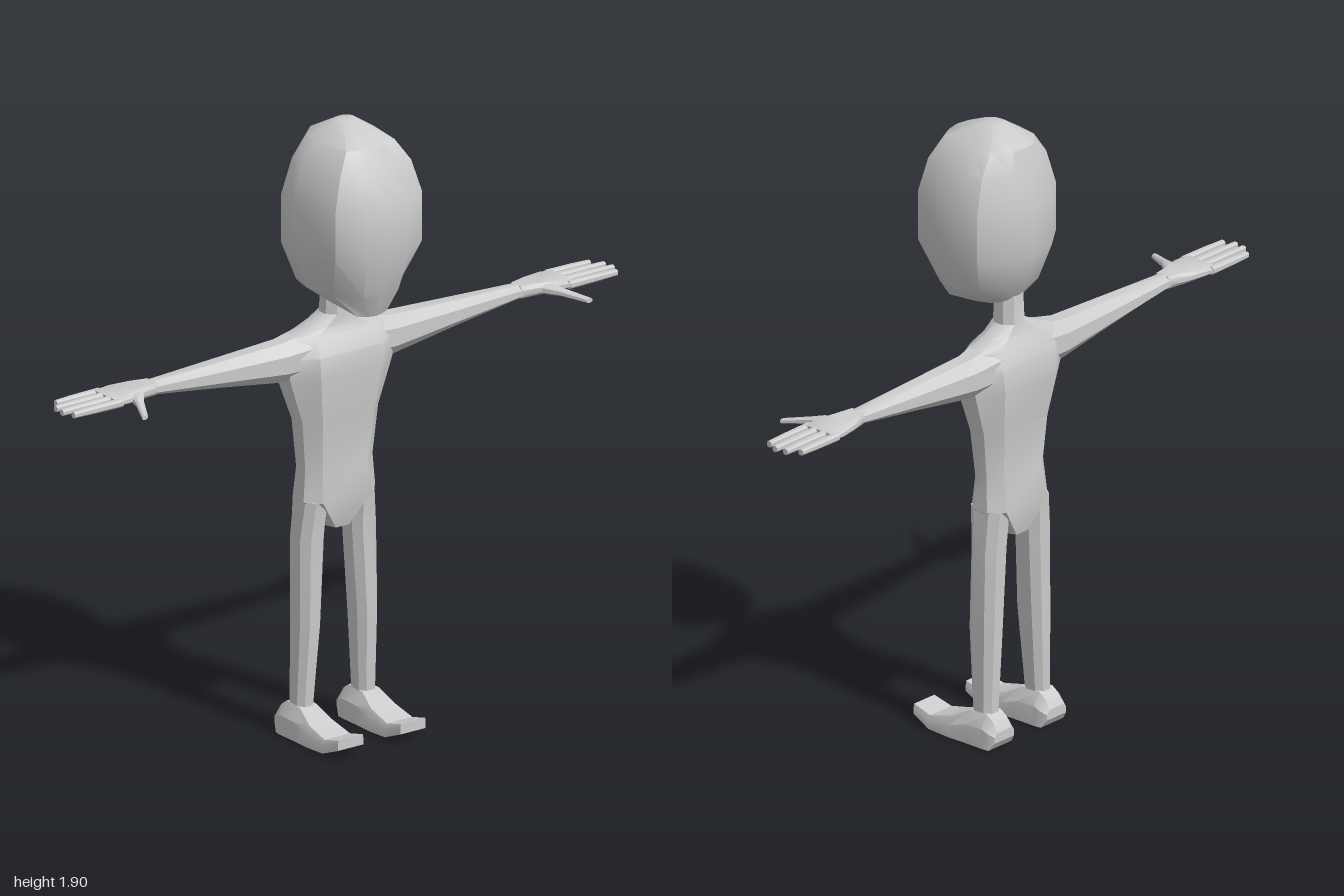
import * as THREE from 'three';
import { toCreasedNormals } from 'three/addons/utils/BufferGeometryUtils.js';

const material = new THREE.MeshStandardMaterial({ color: 0xcccccc });

// Skin a list of rings (arrays of [x, y, z]) and close both ends.
function loft(name, rings, crease = 0.6) {
  const n = rings[0].length, pos = rings.flat(2), idx = [];
  for (let r = 0; r < rings.length - 1; r++) {
    for (let i = 0; i < n; i++) {
      const a = r * n + i, b = r * n + (i + 1) % n;
      idx.push(a, b, a + n, b, b + n, a + n);
    }
  }
  for (const [r, flip] of [[0, true], [rings.length - 1, false]]) {
    const c = pos.length / 3;
    for (let k = 0; k < 3; k++) pos.push(rings[r].reduce((s, p) => s + p[k], 0) / n);
    for (let i = 0; i < n; i++) {
      const a = r * n + i, b = r * n + (i + 1) % n;
      if (flip) idx.push(c, b, a); else idx.push(c, a, b);
    }
  }
  // Turn the faces outward whichever way the rings run.
  const v = (i) => new THREE.Vector3().fromArray(pos, i * 3);
  let volume = 0;
  for (let i = 0; i < idx.length; i += 3) volume += v(idx[i]).dot(v(idx[i + 1]).cross(v(idx[i + 2])));
  if (volume < 0) idx.reverse();
  const g = new THREE.BufferGeometry();
  g.setAttribute('position', new THREE.Float32BufferAttribute(pos, 3));
  g.setIndex(idx);
  const mesh = new THREE.Mesh(toCreasedNormals(g, crease), material);
  mesh.name = name;
  return mesh;
}

// Chamfered rectangle: eight points, cu and cv are the corner cuts as fractions.
function octagon(u0, u1, v0, v1, cu = 0.25, cv = 0.25) {
  const a = (u1 - u0) * cu, b = (v1 - v0) * cv;
  return [[u0 + a, v0], [u1 - a, v0], [u1, v0 + b], [u1, v1 - b],
    [u1 - a, v1], [u0 + a, v1], [u0, v1 - b], [u0, v0 + b]];
}
// Rings across y, x and z.
const ringY = (y, x0, x1, z0, z1, cu, cv) => octagon(x0, x1, z0, z1, cu, cv).map(([x, z]) => [x, y, z]);
const ringX = (s, x, y0, y1, z0, z1, cu, cv) => octagon(y0, y1, z0, z1, cu, cv).map(([y, z]) => [s * x, y, z]);

// Head: front and back heights, half width, front z, cheek edge z, back z
function makeHead() {
  const rows = [
    [1.335, 1.365, 0.065, 0.12, 0.10, -0.11],
    [1.41, 1.42, 0.15, 0.15, 0.075, -0.15],
    [1.54, 1.53, 0.19, 0.19, 0.13, -0.19],
    [1.69, 1.68, 0.19, 0.19, 0.13, -0.19],
    [1.79, 1.79, 0.155, 0.152, 0.115, -0.168],
    [1.855, 1.855, 0.105, 0.118, 0.09, -0.15],
    [1.905, 1.903, 0.03, 0.0, -0.01, -0.06],
  ];
  return loft('head', rows.map(([yf, yb, w, zf, ze, zb]) => {
    const d = zf - zb;
    const half = [[0, zf], [0.42 * w, zf - 0.03 * d], [0.83 * w, ze],
      [w, zb + 0.42 * d], [0.9 * w, zb + 0.2 * d], [0.42 * w, zb + 0.03 * d], [0, zb]];
    const ring = [...half, ...half.slice(1, -1).reverse().map(([x, z]) => [-x, z])];
    return ring.map(([x, z]) => [x, yb + (yf - yb) * (z - zb) / d, z]);
  }), 0.65);
}

// Torso with shoulders and neck: height, half width, back z, front z, side cut
function makeTorso() {
  const rows = [
    [0.635, 0.035, -0.135, -0.045, 0.15],
    [0.73, 0.13, -0.155, -0.02, 0.16],
    [0.83, 0.122, -0.14, -0.03, 0.16],
    [0.98, 0.137, -0.15, -0.015, 0.16],
    [1.12, 0.185, -0.17, 0, 0.2],
    [1.19, 0.19, -0.165, 0, 0.2],
    [1.24, 0.175, -0.145, -0.03, 0.2],
    [1.265, 0.1, -0.135, -0.04, 0.2],
    [1.295, 0.045, -0.125, -0.042, 0.25],
    [1.39, 0.04, -0.122, -0.045, 0.25],
  ];
  return loft('torso', rows.map(([y, w, z0, z1, c]) => ringY(y, -w, w, z0, z1, c, 0.3)));
}

// Leg: height, inner x, outer x, back z, front z
function makeLeg(s) {
  const rows = [
    [0.73, 0.045, 0.125, -0.145, -0.03],
    [0.61, 0.051, 0.138, -0.14, -0.043],
    [0.35, 0.067, 0.14, -0.136, -0.04],
    [0.08, 0.083, 0.142, -0.13, -0.06],
  ];
  return loft('leg', rows.map(([y, a, b, z0, z1]) => ringY(y, s * a, s * b, z0, z1)));
}

// Foot: z, sole height, top height, half width at top and at sole
function makeFoot(s) {
  const rows = [
    [-0.168, 0.025, 0.055, 0.03, 0.042],
    [-0.15, 0, 0.085, 0.03, 0.05],
    [-0.125, 0, 0.102, 0.03, 0.052],
    [-0.06, 0, 0.098, 0.03, 0.052],
    [0.0, 0, 0.065, 0.042, 0.054],
    [0.08, 0.004, 0.045, 0.046, 0.054],
    [0.145, 0.03, 0.062, 0.044, 0.046],
  ];
  return loft('foot', rows.map(([z, y0, y1, wt, wb]) => [
    [-wb, y0], [wb, y0], [wb, y0 + 0.6 * (y1 - y0)], [wt, y1], [-wt, y1], [-wb, y0 + 0.6 * (y1 - y0)],
  ].map(([x, y]) => [s * 0.113 + x, y, z])), 0.5);
}

// Arm: x, bottom, top, back z, front z
function makeArm(s) {
  const rows = [
    [0.1, 1.12, 1.258, -0.155, -0.02],
    [0.2, 1.117, 1.238, -0.142, -0.04],
    [0.42, 1.15, 1.23, -0.132, -0.047],
    [0.67, 1.183, 1.222, -0.117, -0.058],
  ];
  return loft('arm', rows.map(([x, ...r]) => ringX(s, x, ...r, 0.28, 0.28)));
}

// Hand: palm, four fingers and a thumb
function makeHand(s) {
  const hand = new THREE.Group();
  hand.name = 'hand';
  const palm = [
    [0.66, 1.184, 1.222, -0.116, -0.059],
    [0.72, 1.186, 1.222, -0.135, -0.045],
    [0.78, 1.19, 1.22, -0.15, -0.026],
    [0.83, 1.193, 1.214, -0.152, -0.024],
  ];
  hand.add(loft('palm', palm.map(([x, ...r]) => ringX(s, x, ...r, 0.3, 0.12))));
  for (const [z, tip] of [[-0.142, 0.968], [-0.106, 0.995], [-0.07, 1], [-0.034, 0.985]]) {
    hand.add(loft('finger', [[0.81, 0.012], [0.91, 0.011], [tip, 0.009]].map(
      ([x, r]) => ringX(s, x, 1.203 - r, 1.203 + r, z - r, z + r))));
  }
  // Thumb: z, centre x, centre y, half width, half height
  const thumb = [[-0.075, 0.735, 1.204, 0.032, 0.015], [-0.03, 0.752, 1.202, 0.021, 0.013],
    [0.0, 0.768, 1.199, 0.014, 0.01], [0.075, 0.806, 1.188, 0.01, 0.007]];
  hand.add(loft('thumb', thumb.map(([z, x, y, w, h]) =>
    octagon(x - w, x + w, y - h, y + h).map(([px, py]) => [s * px, py, z]))));
  return hand;
}

export function createModel() {
  const model = new THREE.Group();
  model.name = 'figure';
  model.add(makeHead(), makeTorso());
  for (const s of [1, -1]) {
    const side = new THREE.Group();
    side.name = s > 0 ? 'leftLimbs' : 'rightLimbs';
    side.add(makeArm(s), makeHand(s), makeLeg(s), makeFoot(s));
    model.add(side);
  }
  return model;
}
